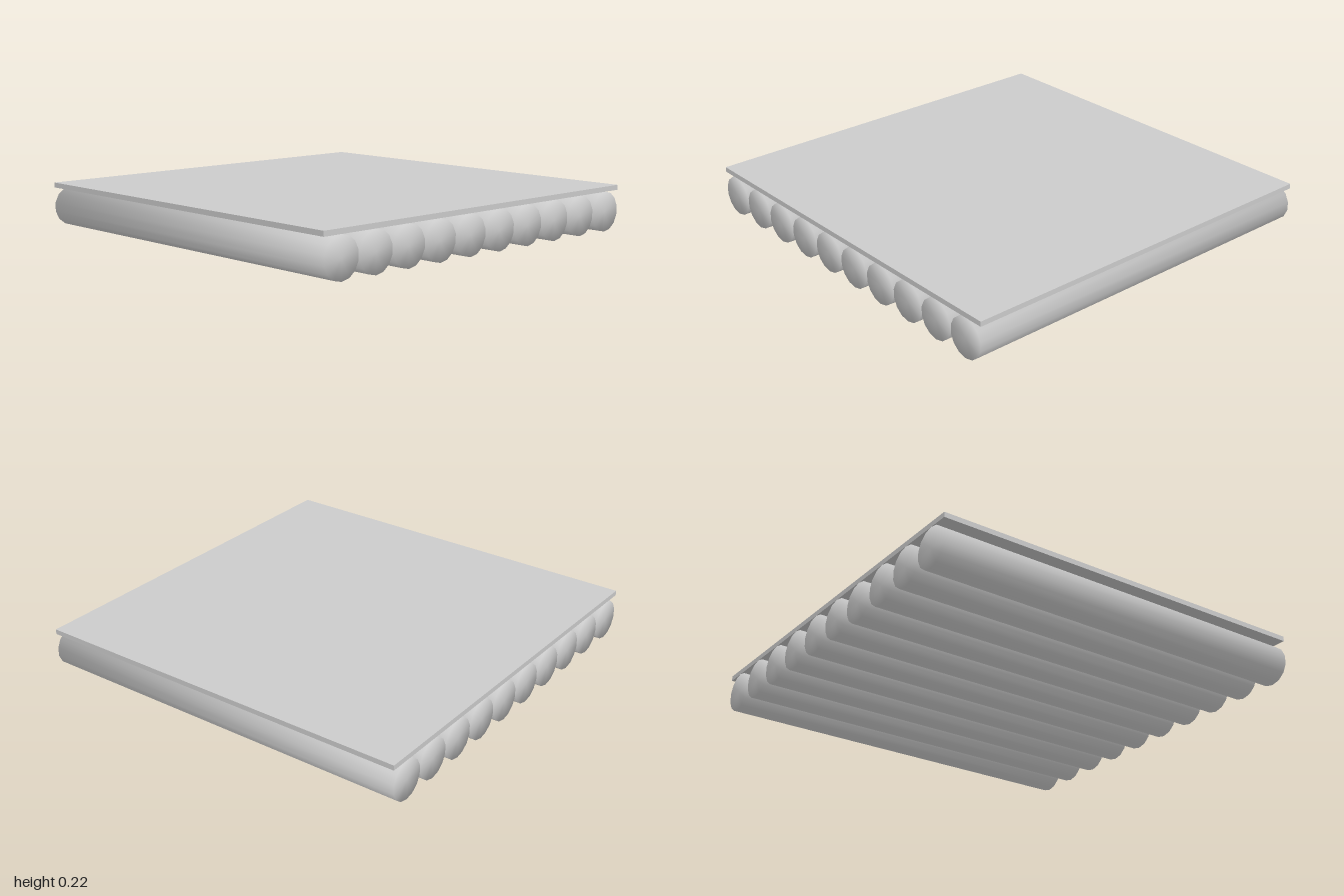
import * as THREE from 'three';

const LOGS = 10;
const RADIUS = 0.1;
const LENGTH = 2;
const DECK = 0.025;

// Closed log along z, its normals blended softly over the rims
function logGeometry() {
  const geometry = new THREE.CylinderGeometry(RADIUS, RADIUS, LENGTH, 14);
  geometry.rotateX(Math.PI / 2);
  const position = geometry.attributes.position;
  const normal = geometry.attributes.normal;
  const n = new THREE.Vector3();
  for (let i = 0; i < position.count; i++) {
    n.set(position.getX(i) / RADIUS, position.getY(i) / RADIUS, Math.sign(position.getZ(i))).normalize();
    normal.setXYZ(i, n.x, n.y, n.z);
  }
  return geometry;
}

export function createModel() {
  const group = new THREE.Group();
  group.name = 'raft';
  const material = new THREE.MeshStandardMaterial({ color: 0xcccccc });

  // Row of touching logs
  const geometry = logGeometry();
  for (let i = 0; i < LOGS; i++) {
    const log = new THREE.Mesh(geometry, material);
    log.name = `log${i + 1}`;
    log.position.set((i - (LOGS - 1) / 2) * 2 * RADIUS, RADIUS, 0);
    group.add(log);
  }

  // Thin flat deck resting on the logs
  const deck = new THREE.Mesh(new THREE.BoxGeometry(2, DECK, LENGTH), material);
  deck.name = 'deck';
  deck.position.y = 2 * RADIUS + DECK / 2;
  group.add(deck);

  return group;
}
